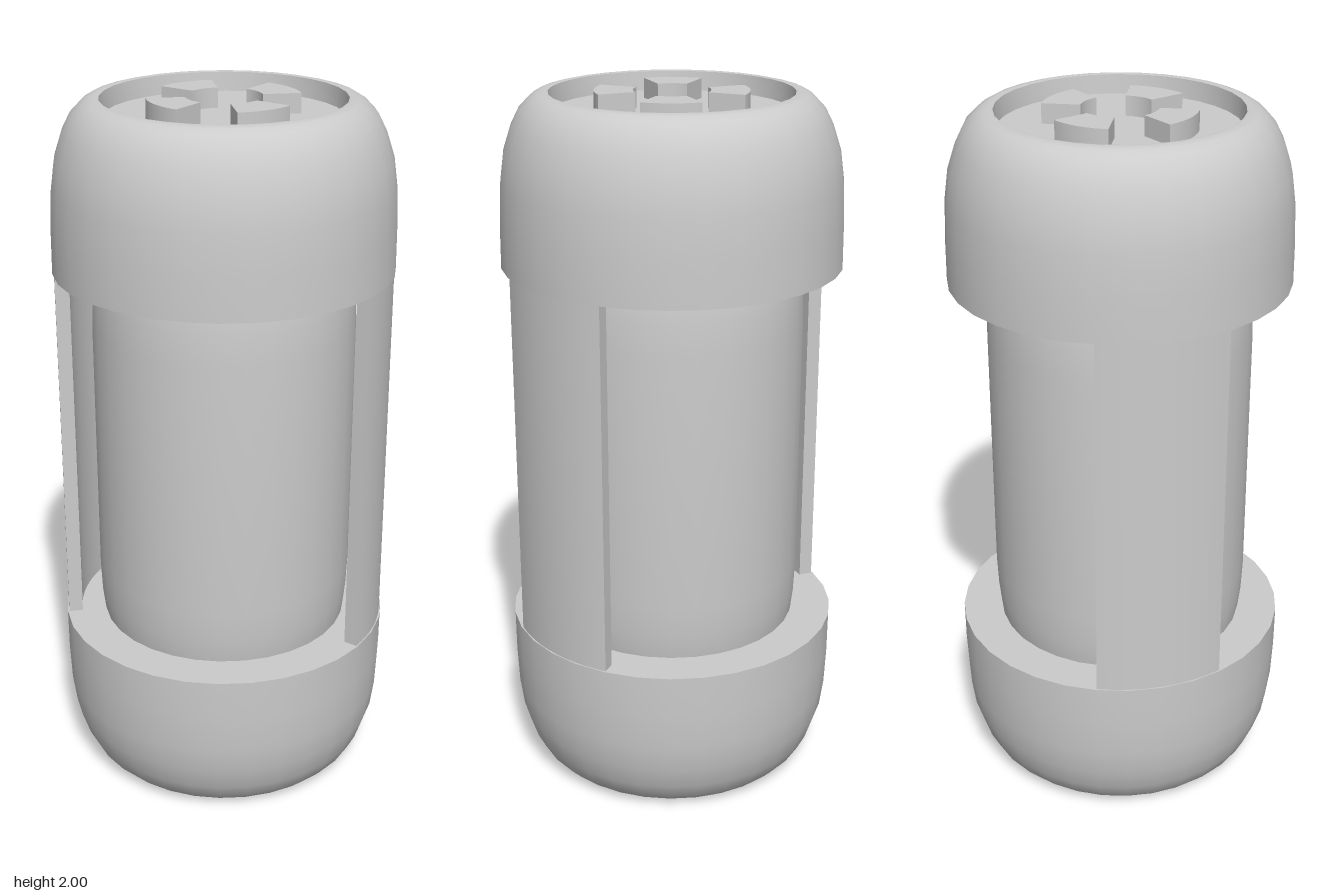
import * as THREE from 'three';
import { toCreasedNormals } from 'three/addons/utils/BufferGeometryUtils.js';

const SIDES = 32;

export function createModel() {
  const group = new THREE.Group();
  const material = new THREE.MeshStandardMaterial({ color: 0xcccccc });

  const add = (name, geometry) => {
    const mesh = new THREE.Mesh(toCreasedNormals(geometry, 0.6), material);
    mesh.name = name;
    group.add(mesh);
    return mesh;
  };
  const lathe = (profile) =>
    new THREE.LatheGeometry(profile.map(([r, y]) => new THREE.Vector2(r, y)), SIDES);

  // Ring sector centred on an angle, extruded upwards from y
  const sector = (name, inner, outer, angle, halfAngle, y, height) => {
    const shape = new THREE.Shape();
    shape.absarc(0, 0, outer, angle - halfAngle, angle + halfAngle, false);
    shape.absarc(0, 0, inner, angle + halfAngle, angle - halfAngle, true);
    const geometry = new THREE.ExtrudeGeometry(shape, { depth: height, bevelEnabled: false, curveSegments: 6 });
    geometry.rotateX(-Math.PI / 2);
    add(name, geometry).position.y = y;
  };

  // Rounded cap: flat underside, domed shoulder, recessed end
  const capProfile = [
    [0.35, 1.53], [0.475, 1.53], [0.474, 1.65], [0.469, 1.76], [0.458, 1.84], [0.435, 1.91],
    [0.412, 1.955], [0.385, 1.983], [0.365, 1.995], [0.345, 2], [0.333, 1.998], [0.328, 1.945], [0, 1.945],
  ];
  add('topCap', lathe(capProfile));
  add('bottomCap', lathe(capProfile.map(([r, y]) => [r, 2 - y]).reverse()));

  // Inner canister, slightly narrowed towards its ends
  add('canister', lathe([
    [0.352, 0.44], [0.36, 0.48], [0.367, 0.54], [0.371, 0.63],
    [0.371, 1.37], [0.367, 1.46], [0.36, 1.52], [0.352, 1.56],
  ]));

  // Curved side panels joining the caps
  sector('leftPanel', 0.43, 0.47, 0, Math.PI / 8, 0.46, 1.08);
  sector('rightPanel', 0.43, 0.47, Math.PI, Math.PI / 8, 0.46, 1.08);

  // Four teeth standing in the top recess
  for (let i = 0; i < 4; i++) {
    sector('tooth' + (i + 1), 0.105, 0.21, Math.PI / 4 + i * Math.PI / 2, Math.PI / 8, 1.94, 0.06);
  }
  return group;
}
